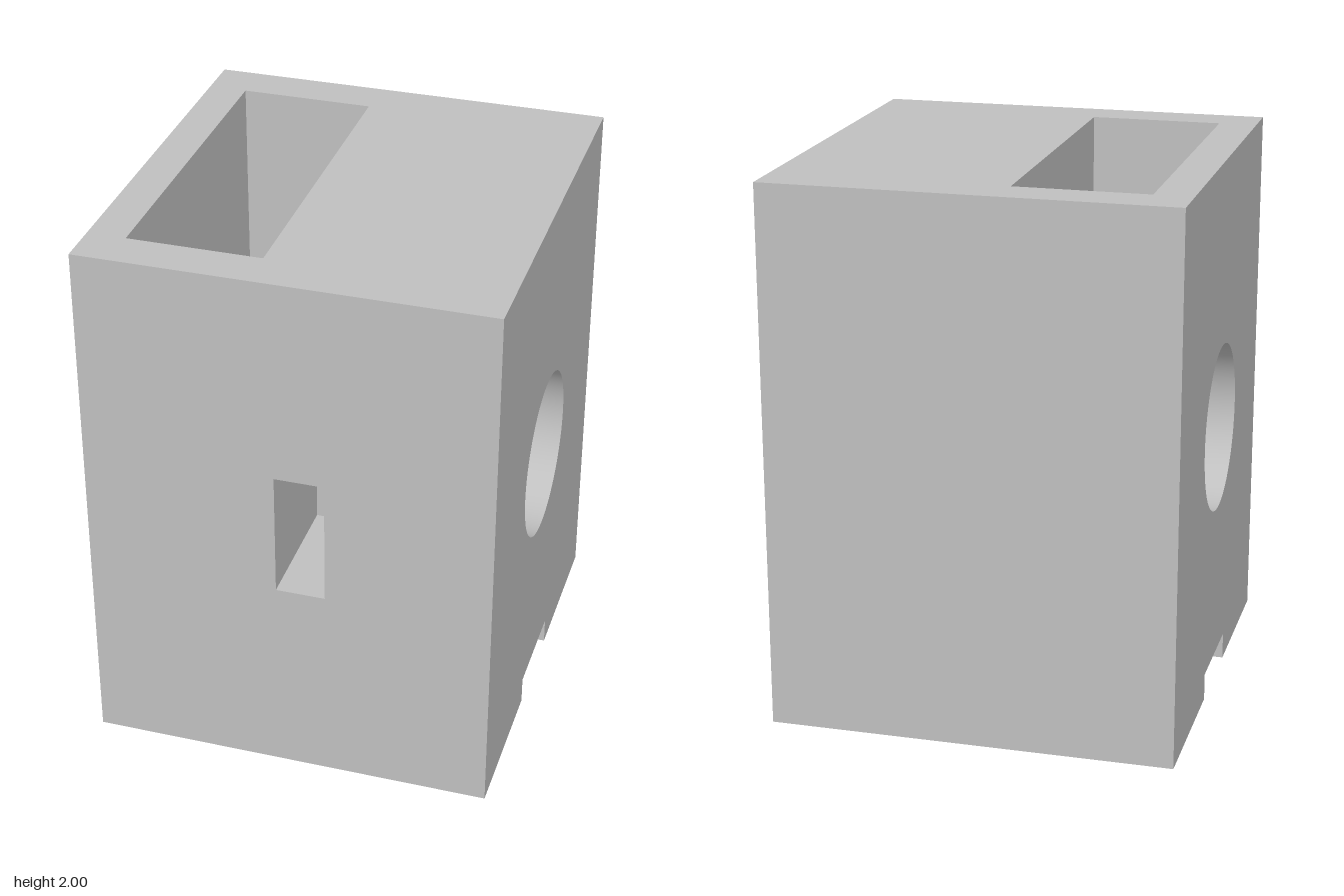
import * as THREE from 'three';
import { mergeGeometries, toCreasedNormals } from 'three/addons/utils/BufferGeometryUtils.js';

// Profiles are drawn in the plane seen from +x: (u, y) with u = -z.
const D = 0.775;                        // half depth of the block
const BORE_Y = 1.003, BORE_R = 0.309;   // cross bore
const POCKET_Z = 0.615, POCKET_EDGE = 0.646, POCKET_LOW = 0.24;
const SLOT_LOW = 0.77, SLOT_TOP = 1.24, SLOT_END = 0.294;
const X = { right: -0.74, pocketA: -0.6, pocketB: -0.115, slotA: -0.04, slotB: 0.14, left: 0.74 };

// underside with the guide groove
const BASE = [[-D, 0], [-0.195, 0], [-0.195, 0.1], [0.19, 0.1], [0.19, 0], [D, 0]];
const POCKET = [[POCKET_Z, 2], [POCKET_Z, POCKET_EDGE], [0, POCKET_LOW],
  [-POCKET_Z, POCKET_EDGE], [-POCKET_Z, 2]];

function boreArc(from, to, steps) {
  return Array.from({ length: steps + 1 }, (_, i) => {
    const a = from + (to - from) * i / steps;
    return [BORE_R * Math.cos(a), BORE_Y + BORE_R * Math.sin(a)];
  });
}

const toPoints = (list) => list.map(([u, y]) => new THREE.Vector2(u, y));

function profile(outline, bored) {
  const shape = new THREE.Shape(toPoints(outline));
  if (bored) shape.holes.push(new THREE.Path(toPoints(boreArc(0, Math.PI * 2, 96).slice(0, -1))));
  return shape;
}

// side surfaces of a profile swept from x0 to x1, without end caps
function sweep(shape, x0, x1) {
  const full = new THREE.ExtrudeGeometry(shape, { depth: x1 - x0, bevelEnabled: false });
  const start = full.groups[1].start;
  const g = new THREE.BufferGeometry();
  g.setAttribute('position', new THREE.BufferAttribute(full.attributes.position.array.slice(start * 3), 3));
  return g.rotateY(Math.PI / 2).translate(x0, 0, 0);
}

// flat face at x, facing +x or -x
function wall(shape, x, facing) {
  const flat = new THREE.ShapeGeometry(shape);
  if (facing < 0) flat.index.array.reverse();
  const g = flat.toNonIndexed();
  g.deleteAttribute('uv');
  g.deleteAttribute('normal');
  return g.rotateY(Math.PI / 2).translate(x, 0, 0);
}

export function createModel() {
  const group = new THREE.Group();
  group.name = 'boredBlock';
  const grey = new THREE.MeshStandardMaterial({ color: 0xbfbfbf });
  grey.name = 'grey';

  const add = (name, parts) => {
    const mesh = new THREE.Mesh(toCreasedNormals(mergeGeometries(parts), 0.4), grey);
    mesh.name = name;
    group.add(mesh);
  };

  const solid = profile([...BASE, [D, 2], [-D, 2]], true);
  const pocketed = profile([...BASE, [D, 2], ...POCKET, [-D, 2]], false);

  // the slot breaks into the bore through a narrow opening
  const a = Math.acos(SLOT_END / BORE_R);
  const slotted = profile([...BASE, [D, 2], [-D, 2], [-D, SLOT_TOP], [-SLOT_END, SLOT_TOP],
    ...boreArc(Math.PI - a, a - Math.PI, 86), [-SLOT_END, SLOT_LOW], [-D, SLOT_LOW]], false);

  // block body, section by section along x
  add('blockBody', [
    sweep(solid, X.right, X.pocketA),
    sweep(pocketed, X.pocketA, X.pocketB),
    sweep(solid, X.pocketB, X.slotA),
    sweep(slotted, X.slotA, X.slotB),
    sweep(solid, X.slotB, X.left),
  ]);

  // outer side faces with the bore opening
  add('sideFaces', [wall(solid, X.right, -1), wall(solid, X.left, 1)]);

  // inner side walls of the top pocket
  const pocketSide = profile([...POCKET].reverse(), true);
  add('pocketWalls', [wall(pocketSide, X.pocketA, 1), wall(pocketSide, X.pocketB, -1)]);

  // inner side walls of the front slot
  const slotSide = profile([[-D, SLOT_LOW], [-SLOT_END, SLOT_LOW],
    ...boreArc(Math.PI + a, Math.PI - a, 10), [-SLOT_END, SLOT_TOP], [-D, SLOT_TOP]], false);
  add('slotWalls', [wall(slotSide, X.slotA, 1), wall(slotSide, X.slotB, -1)]);

  return group;
}
